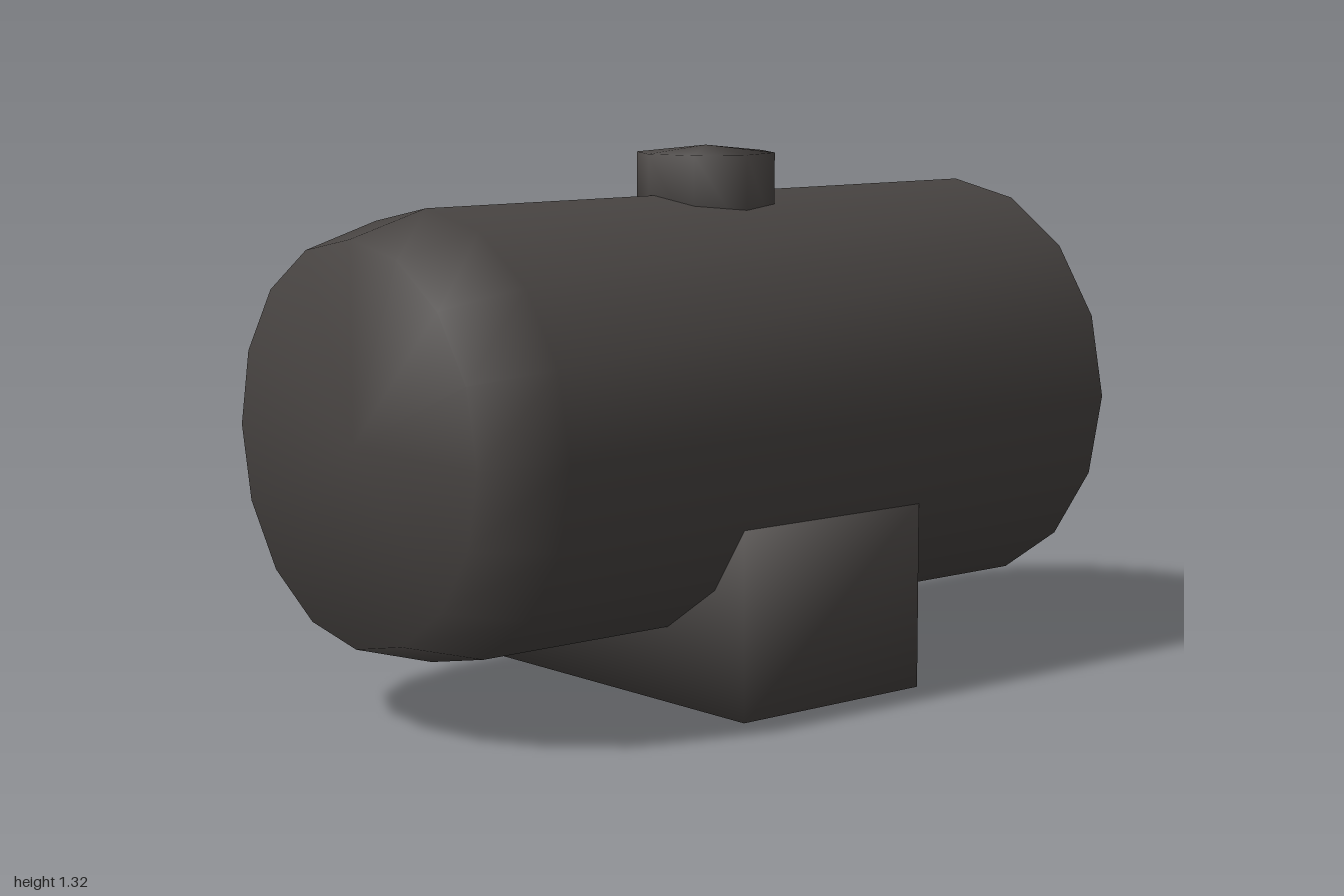
import * as THREE from 'three';
import { mergeVertices } from 'three/addons/utils/BufferGeometryUtils.js';

// Weld all corners so that normals run smoothly over every edge
function smooth(geometry) {
  geometry.deleteAttribute('uv');
  geometry.deleteAttribute('normal');
  const welded = mergeVertices(geometry, 1e-4);
  welded.computeVertexNormals();
  return welded;
}

// Closed turned solid from [radius, height] pairs, bottom to top
function turned(profile, sides) {
  const points = profile.map(([r, h]) => new THREE.Vector2(r, h));
  return smooth(new THREE.LatheGeometry(points, sides));
}

export function createModel() {
  const model = new THREE.Group();
  const darkMetal = new THREE.MeshStandardMaterial({ color: 0x484442 });
  darkMetal.name = 'darkMetal';

  function add(name, geometry, x, y, z) {
    const mesh = new THREE.Mesh(geometry, darkMetal);
    mesh.name = name;
    mesh.position.set(x, y, z);
    model.add(mesh);
    return mesh;
  }

  // Lying tank with a long taper at one end and a short bevel at the other
  const tank = turned(
    [[0, -1], [0.47, -1], [0.53, -0.79], [0.53, 0.935], [0.465, 1], [0, 1]], 16);
  tank.rotateZ(-Math.PI / 2);
  add('tank', tank, 0, 0.675, 0);

  // Filler cap on top, slightly turned, with a shallow pointed lid
  const cap = add('fillerCap',
    turned([[0, 1.1], [0.172, 1.1], [0.172, 1.305], [0, 1.323]], 8), 0.055, 0, 0);
  cap.rotation.y = -THREE.MathUtils.degToRad(5);

  // Supporting block under the tank
  add('base', smooth(new THREE.BoxGeometry(0.57, 0.46, 0.96)), 0.045, 0.23, 0);

  return model;
}
